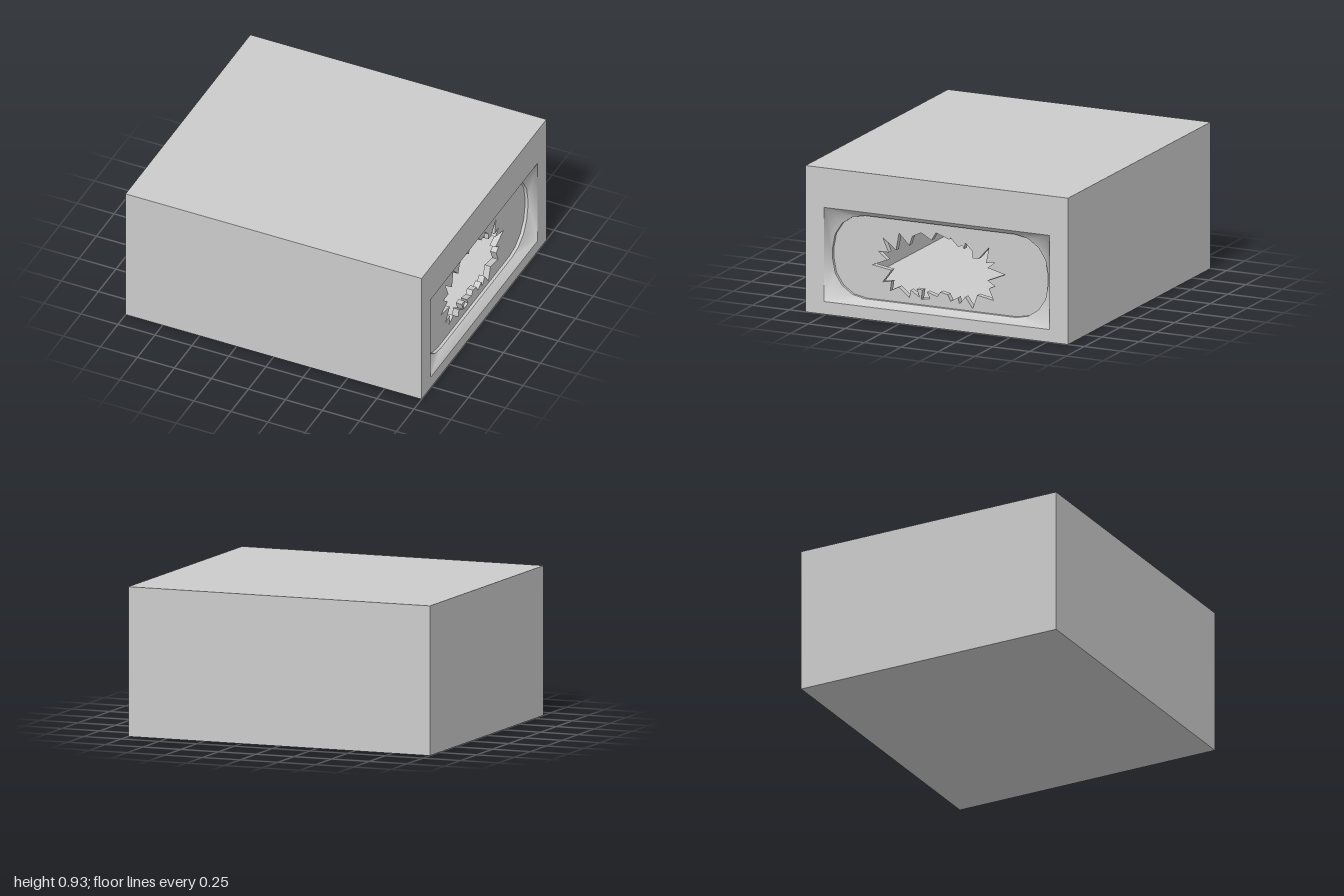
import * as THREE from 'three';

const X = 1, Z = 0.89, H = 0.925;              // outer half width, half depth, height
const BEVEL = 0.05, PANEL = 0.07, THICK = 0.04; // depths behind the side face

// Jagged breach outline in hundredths of a unit: z, y
const BREACH = [
  47, 33, 37, 37, 43, 42, 36, 42, 40, 51, 31, 44, 29, 55, 22, 48, 20, 54, 14, 57, 7, 53, 4, 58, -5, 55,
  -6, 56, -11, 51, -14, 52, -15, 50, -16, 54, -21, 49, -21, 45, -25, 45, -32, 53, -30, 43, -36, 44,
  -31, 40, -43, 37, -31, 32, -36, 29, -32, 27, -35, 20, -24, 22, -21, 13, -16, 20, -12, 15, -11, 19,
  -6, 16, -4, 20, 1, 21, 3, 18, 10, 20, 8, 16, 14, 15, 13, 21, 17, 21, 15, 16, 21, 20, 22, 15,
  29, 21, 35, 18, 34, 24, 40, 23, 34, 31,
];

const rect = (hw, y0, y1) => [[hw, y1], [-hw, y1], [-hw, y0], [hw, y0]].map(([x, y]) => new THREE.Vector2(x, y));

// Rounded opening, counter-clockwise, with five points to each corner
function roundedRing() {
  const ring = [];
  for (let c = 0; c < 4; c++) {
    const sx = c === 0 || c === 3 ? 1 : -1, sy = c < 2 ? 1 : -1;
    for (let i = 0; i <= 4; i++) {
      const a = (c + i / 4) * Math.PI / 2;
      ring.push(new THREE.Vector2(sx * 0.51 + 0.22 * Math.cos(a), 0.3775 + sy * 0.0375 + 0.225 * Math.sin(a)));
    }
  }
  return ring;
}

// Surface between two outlines; outerOf gives the outer point for each inner one
function loft(outer, outerZ, inner, innerZ, outerOf) {
  const pos = [], idx = [], n = inner.length, m = outer.length;
  outer.forEach(p => pos.push(p.x, p.y, outerZ));
  inner.forEach(p => pos.push(p.x, p.y, innerZ));
  for (let i = 0; i < n; i++) {
    const j = (i + 1) % n, a = outerOf(i), b = outerOf(j);
    if (a !== b) idx.push(a, b, m + j);
    idx.push(a, m + j, m + i);
  }
  const g = new THREE.BufferGeometry();
  g.setAttribute('position', new THREE.Float32BufferAttribute(pos, 3));
  g.setIndex(idx);
  g.computeVertexNormals();
  return g;
}

// Box without its +x side
function openBox(w, h, d) {
  const g = new THREE.BoxGeometry(w, h, d);
  g.setIndex(Array.from(g.index.array).slice(6));
  g.clearGroups();
  return g;
}

export function createModel() {
  const model = new THREE.Group();
  model.name = 'breachedBlock';
  const solid = new THREE.MeshStandardMaterial({ color: 0xcccccc });
  const thin = new THREE.MeshStandardMaterial({ color: 0xcccccc, side: THREE.DoubleSide });
  const add = (parent, name, geometry, material) => {
    const mesh = new THREE.Mesh(geometry, material);
    mesh.name = name;
    parent.add(mesh);
    return mesh;
  };

  // Outer block and hollow chamber behind the panel
  add(model, 'outerShell', openBox(2 * X, H, 2 * Z), thin).position.y = H / 2;
  const back = -0.87, front = X - PANEL - THICK;
  add(model, 'innerChamber', openBox(front - back, 0.59, 1.48), thin)
    .position.set((front + back) / 2, 0.395, 0);

  // Side assembly, drawn in the xy plane then turned to face +x
  const side = new THREE.Group();
  side.name = 'sideFace';
  side.position.x = X;
  side.rotation.y = Math.PI / 2;
  model.add(side);

  const opening = rect(0.765, 0.08, 0.675);
  const plate = new THREE.Shape(rect(Z, 0, H));
  plate.holes.push(new THREE.Path(opening));
  add(side, 'sidePlate', new THREE.ShapeGeometry(plate), solid);

  // Sloped frame and the short wall inside it
  const ring = roundedRing();
  add(side, 'slopedFrame', loft(opening, 0, ring, -BEVEL, i => Math.floor(i / 5)), thin);
  add(side, 'frameRim', loft(ring, -BEVEL, ring, -PANEL, i => i), thin);

  // Panel with the jagged breach
  const panel = new THREE.Shape(rect(0.74, 0.1, 0.69));
  const hole = [];
  for (let i = 0; i < BREACH.length; i += 2) hole.push(new THREE.Vector2(-BREACH[i] / 100, BREACH[i + 1] / 100));
  panel.holes.push(new THREE.Path(hole));
  const panelGeometry = new THREE.ExtrudeGeometry(panel, { depth: THICK, bevelEnabled: false });
  add(side, 'breachedPanel', panelGeometry, solid).position.z = -PANEL - THICK;

  return model;
}
